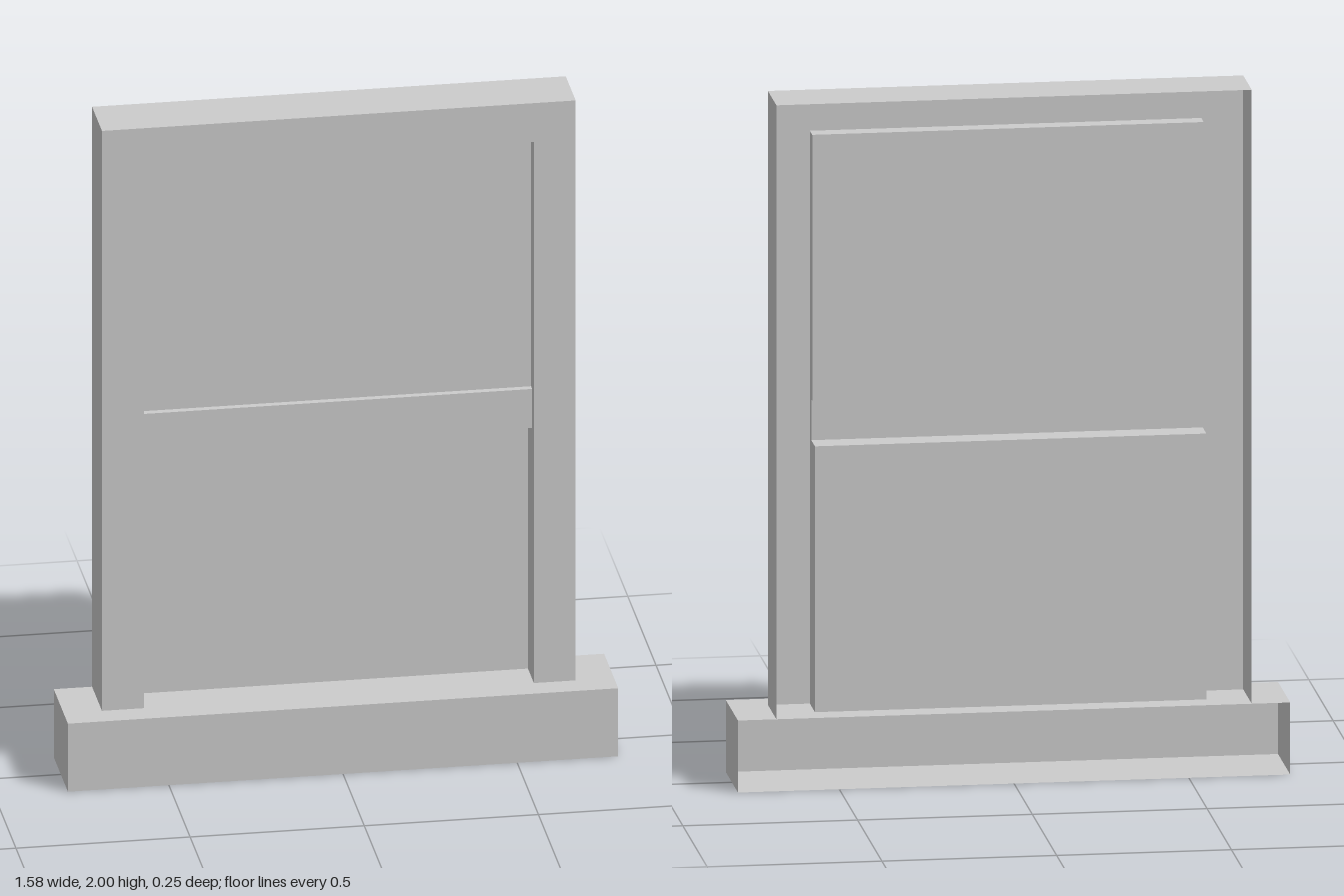
import * as THREE from 'three';

const material = new THREE.MeshStandardMaterial({ color: 0xcccccc, flatShading: true, side: THREE.DoubleSide });

// Main dimensions
const BACK = -0.125, FACE = 0.05, SILL_TOP = 0.21, TOP = 2;
const OUTER = 0.68, OPENING = 0.56, HEAD = 1.88;

const polygon = (points) => new THREE.ShapeGeometry(new THREE.Shape(points.map(([x, y]) => new THREE.Vector2(x, y))));

// Flat side piece standing at x, outlined by [z, y] points
const sidePiece = (points, x) =>
  polygon(points.map(([z, y]) => [-z, y])).rotateY(Math.PI / 2).translate(x, 0, 0);

// Folded sheet: an open [z, y] profile swept across the width
function foldedSheet(profile, halfWidth) {
  const positions = [];
  for (let i = 0; i < profile.length - 1; i++) {
    const [z0, y0] = profile[i], [z1, y1] = profile[i + 1];
    const a = [-halfWidth, y0, z0], b = [halfWidth, y0, z0];
    const c = [halfWidth, y1, z1], d = [-halfWidth, y1, z1];
    positions.push(...a, ...d, ...c, ...a, ...c, ...b);
  }
  const geometry = new THREE.BufferGeometry();
  geometry.setAttribute('position', new THREE.Float32BufferAttribute(positions, 3));
  geometry.computeVertexNormals();
  return geometry;
}

export function createModel() {
  const model = new THREE.Group();
  model.name = 'window';
  const add = (name, geometry) => {
    const mesh = new THREE.Mesh(geometry, material);
    mesh.name = name;
    model.add(mesh);
  };

  // Sill: a box left open at the back
  const sillProfile = [[BACK, SILL_TOP], [0.125, SILL_TOP], [0.125, 0], [BACK, 0]];
  add('sill', foldedSheet(sillProfile, 0.79));

  // Casing: front face around the opening, and the top
  add('casingFace', polygon([
    [-OUTER, SILL_TOP], [-OPENING, SILL_TOP], [-OPENING, HEAD], [OPENING, HEAD],
    [OPENING, SILL_TOP], [OUTER, SILL_TOP], [OUTER, TOP], [-OUTER, TOP],
  ]).translate(0, 0, FACE));
  add('casingTop', foldedSheet([[BACK, TOP], [FACE, TOP]], OUTER));

  // Recessed sashes: head, upper pane, meeting rail and deeper lower pane
  const sashProfile = [
    [FACE, HEAD], [0, HEAD], [0, 1.105], [0.02, 1.105],
    [0.02, 0.985], [-0.055, 0.985], [-0.055, SILL_TOP],
  ];
  add('sashes', foldedSheet(sashProfile, OPENING));

  // Mirrored end pieces
  for (const [side, s] of [['left', 1], ['right', -1]]) {
    add(side + 'SillEnd', sidePiece(sillProfile, s * 0.79));
    add(side + 'CasingSide', sidePiece([[BACK, SILL_TOP], [FACE, SILL_TOP], [FACE, TOP], [BACK, TOP]], s * OUTER));
    add(side + 'Jamb', sidePiece([...sashProfile, [FACE, SILL_TOP]], s * OPENING));
  }
  return model;
}
